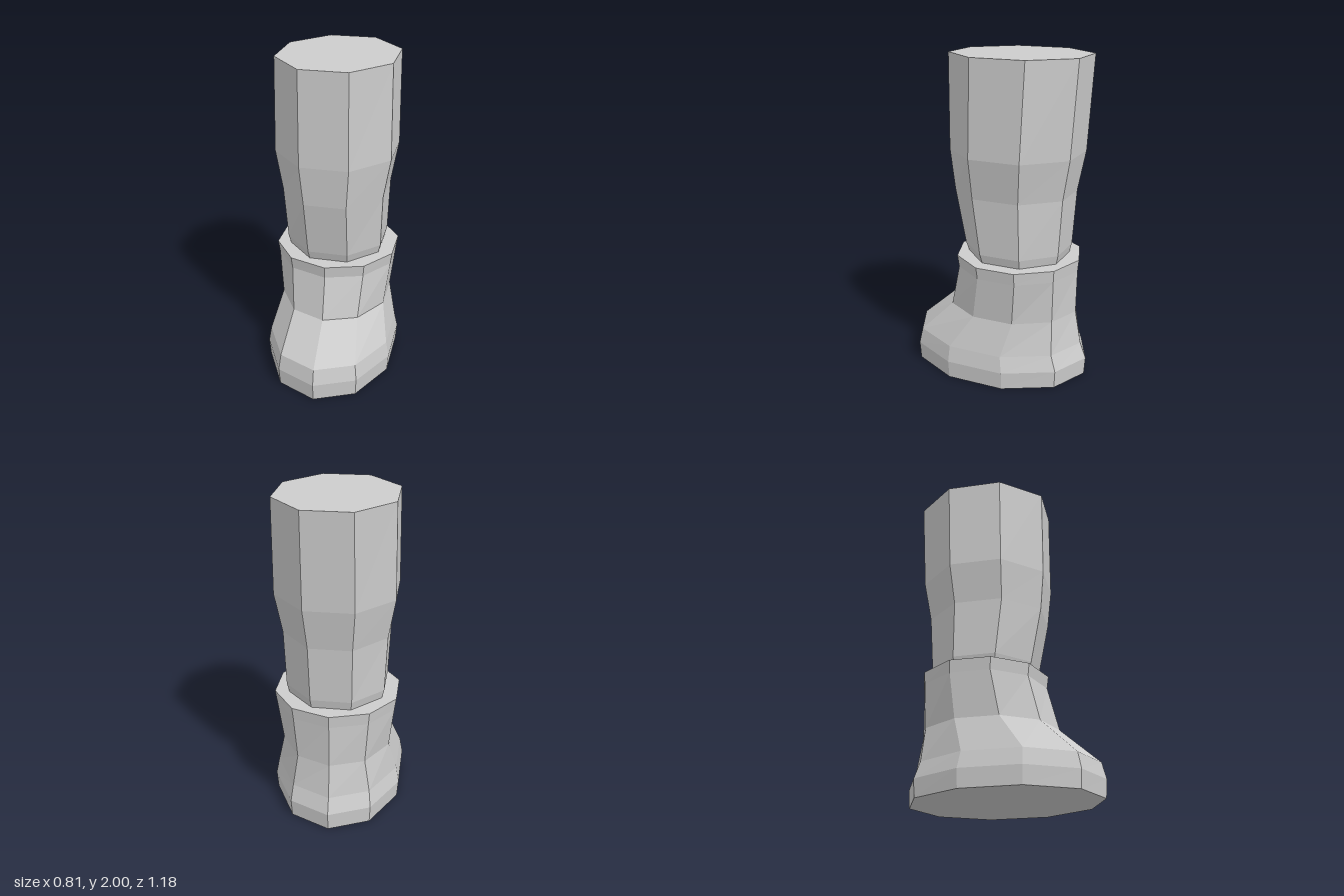
import * as THREE from 'three';

const grey = new THREE.MeshStandardMaterial({ color: 0xcccccc, flatShading: true });
grey.name = 'plain grey';

// Closed faceted loft; each ring is [y, radius in x, front z, back z]
function loft(name, sides, turn, rings) {
  const scale = 1 / Math.cos(turn); // flats of a turned ring reach the given radii
  const pos = [];
  const point = ([y, rx, front, back], i) => {
    const a = (i / sides) * Math.PI * 2 + turn;
    return [
      Math.sin(a) * rx * scale,
      y,
      (front + back) / 2 + Math.cos(a) * scale * (front - back) / 2,
    ];
  };
  const centre = ([y, , front, back]) => [0, y, (front + back) / 2];
  const first = rings[0];
  const last = rings[rings.length - 1];

  for (let i = 0; i < sides; i++) {
    for (let k = 0; k < rings.length - 1; k++) {
      const a = point(rings[k], i), b = point(rings[k], i + 1);
      const c = point(rings[k + 1], i + 1), d = point(rings[k + 1], i);
      pos.push(...a, ...b, ...c, ...a, ...c, ...d);
    }
    pos.push(...centre(last), ...point(last, i), ...point(last, i + 1));
    pos.push(...centre(first), ...point(first, i + 1), ...point(first, i));
  }

  const geometry = new THREE.BufferGeometry();
  geometry.setAttribute('position', new THREE.Float32BufferAttribute(pos, 3));
  geometry.computeVertexNormals();
  const mesh = new THREE.Mesh(geometry, grey);
  mesh.name = name;
  return mesh;
}

export function createModel() {
  const model = new THREE.Group();
  model.name = 'bootedLeg';

  // Ten-sided boot: sole, instep, ankle and flared cuff
  model.add(loft('boot', 10, 0, [
    [0, 0.415, 0.58, -0.58],
    [0.11, 0.424, 0.588, -0.588],
    [0.21, 0.405, 0.563, -0.55],
    [0.42, 0.352, 0.327, -0.512],
    [0.69, 0.384, 0.258, -0.517],
    [0.765, 0.395, 0.268, -0.524],
  ]));

  // Eight-sided leg, its lower end tucked into the boot
  model.add(loft('leg', 8, Math.PI / 8, [
    [0.7, 0.27, 0.145, -0.405],
    [0.82, 0.3, 0.185, -0.432],
    [1.17, 0.314, 0.252, -0.455],
    [1.42, 0.357, 0.275, -0.5],
    [2, 0.349, 0.275, -0.537],
  ]));

  return model;
}
